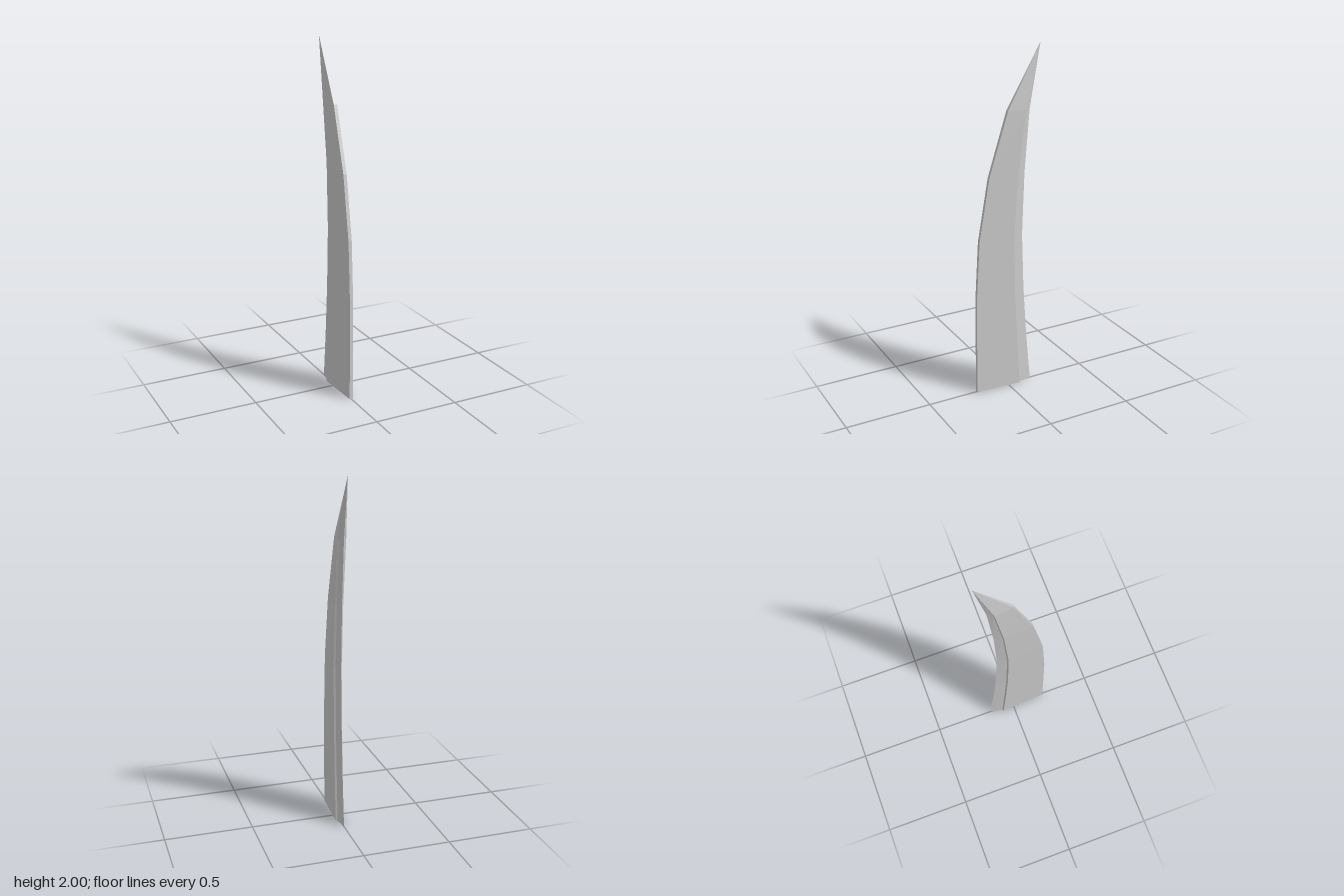
import * as THREE from 'three';

// Levels along the blade: height, spine z, shoulder z, cutting edge z
const LEVELS = [
  [0, 0.2, -0.071, -0.153],
  [0.3, 0.2, -0.052, -0.126],
  [0.6, 0.197, -0.038, -0.106],
  [0.93, 0.178, -0.033, -0.095],
  [1.29, 0.115, -0.056, -0.108],
  [1.65, 0, -0.103, -0.138],
];
const TIP = [0, 2, -0.2];

// Closed cross-section: flat spine, thick shoulder, small step, sharp edge
function ring([y, spine, shoulder, edge]) {
  const half = [[0.01, spine], [0.024, shoulder], [0.014, shoulder - 0.006]];
  return [
    ...half.map(([x, z]) => [x, y, z]),
    [0, y, edge],
    ...half.reverse().map(([x, z]) => [-x, y, z]),
  ];
}

function bladeGeometry() {
  const rings = LEVELS.map(ring);
  const n = rings[0].length;
  const pos = [];
  const tri = (a, b, c) => pos.push(...a, ...b, ...c);

  // Walls between neighbouring sections
  for (let k = 0; k < rings.length - 1; k++) {
    const lo = rings[k], hi = rings[k + 1];
    for (let i = 0; i < n; i++) {
      const j = (i + 1) % n;
      tri(lo[i], lo[j], hi[j]);
      tri(lo[i], hi[j], hi[i]);
    }
  }

  // Point
  const top = rings[rings.length - 1];
  for (let i = 0; i < n; i++) tri(top[i], top[(i + 1) % n], TIP);

  // Flat base, joined in mirrored strips
  const b = rings[0];
  for (let i = 0; i < 3; i++) {
    tri(b[i], b[n - 1 - i], b[i + 1]);
    if (i < 2) tri(b[i + 1], b[n - 1 - i], b[n - 2 - i]);
  }

  const geo = new THREE.BufferGeometry();
  geo.setAttribute('position', new THREE.Float32BufferAttribute(pos, 3));
  geo.computeVertexNormals();
  return geo;
}

export function createModel() {
  const group = new THREE.Group();
  group.name = 'curvedBlade';
  const material = new THREE.MeshStandardMaterial({ color: 0xcccccc, flatShading: true });
  const blade = new THREE.Mesh(bladeGeometry(), material);
  blade.name = 'blade';
  group.add(blade);
  return group;
}
